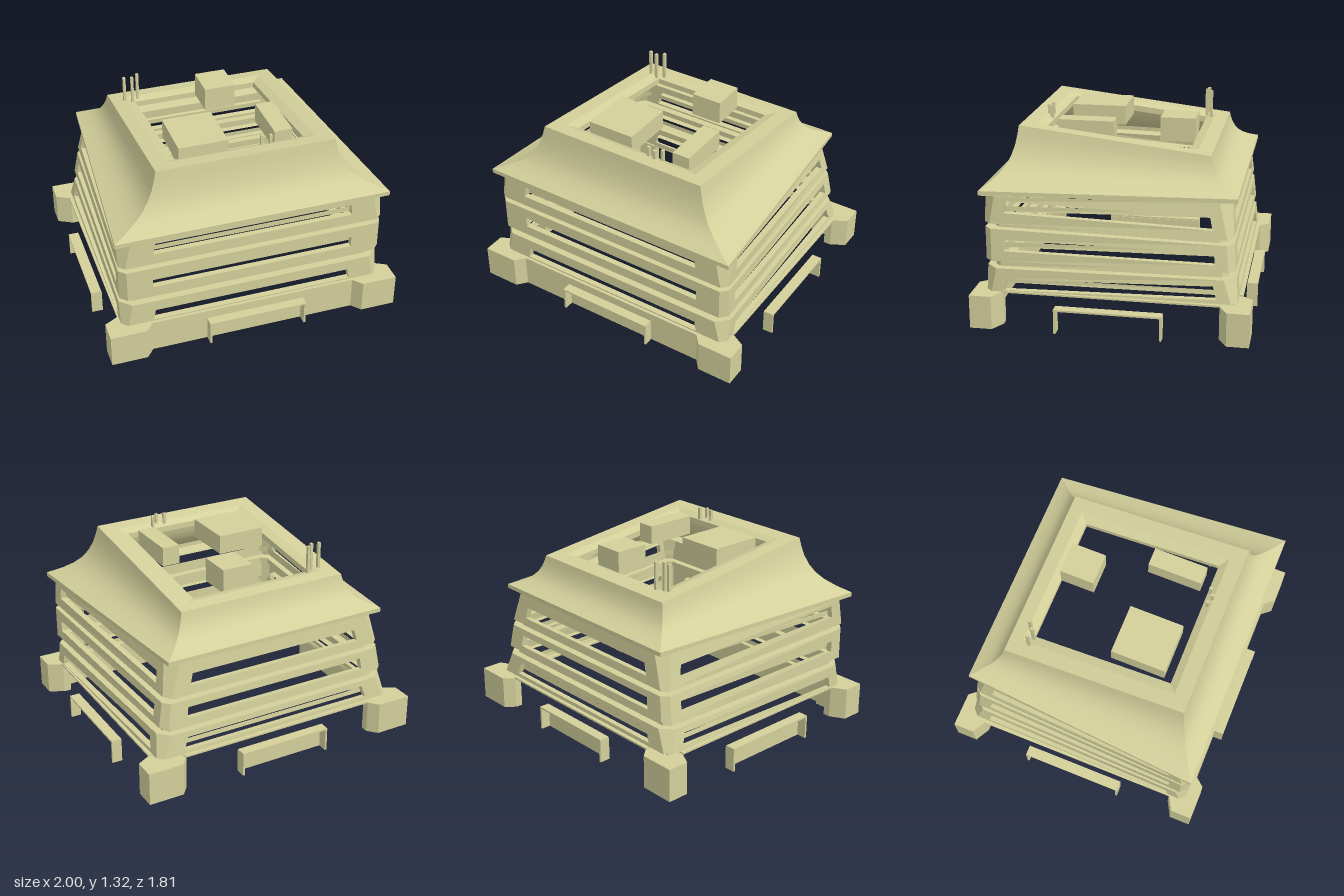
import * as THREE from 'three';

const stone = new THREE.MeshStandardMaterial({ color: 0xd3d09b, side: THREE.DoubleSide });
stone.name = 'pale stone';
const lerp = THREE.MathUtils.lerp;
const V = (x, y, z) => new THREE.Vector3(x, y, z);

function add(parent, name, geometry) {
  const m = new THREE.Mesh(geometry, stone);
  m.name = name;
  parent.add(m);
  return m;
}

// Box given by its limits
function block(parent, name, x0, x1, y0, y1, z0, z1) {
  const m = add(parent, name, new THREE.BoxGeometry(x1 - x0, y1 - y0, z1 - z0));
  m.position.set((x0 + x1) / 2, (y0 + y1) / 2, (z0 + z1) / 2);
}

// Flat faces from a list of four-corner quads
function quads(list) {
  const pos = [];
  for (const [a, b, c, d] of list) for (const p of [a, b, c, a, c, d]) pos.push(p.x, p.y, p.z);
  const g = new THREE.BufferGeometry();
  g.setAttribute('position', new THREE.Float32BufferAttribute(pos, 3));
  g.computeVertexNormals();
  return g;
}

// One side lofted through rows of two points, smooth along the curve
function strip(rows) {
  const pos = [], idx = [];
  rows.forEach(([a, b], i) => {
    pos.push(a.x, a.y, a.z, b.x, b.y, b.z);
    if (i) { const k = 2 * i; idx.push(k - 2, k - 1, k + 1, k - 2, k + 1, k); }
  });
  const g = new THREE.BufferGeometry();
  g.setAttribute('position', new THREE.Float32BufferAttribute(pos, 3));
  g.setIndex(idx);
  g.computeVertexNormals();
  return g;
}

// Chamfered plan of the leaning walls; height differs between front and back
function wallRing(yf, yb, inset, ch) {
  const k = (yb - 0.225) / 0.645;
  const F = 0.9 - inset, B = lerp(0.885, 0.77, k) - inset;
  const zf = 0.82 - inset, zb = lerp(-0.815, -0.755, k) + inset;
  const plan = [[-F + ch, zf], [F - ch, zf], [F, zf - ch], [B, zb + ch],
    [B - ch, zb], [-B + ch, zb], [-B, zb + ch], [-F, zf - ch]];
  return plan.map(([x, z]) => V(x, lerp(yf, yb, (zf - z) / (zf - zb)), z));
}

// Closed band between two rings
const band = (lo, hi) => lo.map((p, i) => {
  const j = (i + 1) % lo.length;
  return [p, lo[j], hi[j], hi[i]];
});

// One storey band with a long slot on each side
function tier(parent, name, lo, hi, win) {
  const list = [];
  const margins = [0.1, 0.055, 0.08, 0.055];
  for (let s = 0; s < 4; s++) {
    const a = lo[2 * s], b = lo[2 * s + 1], c = hi[2 * s + 1], d = hi[2 * s];
    const n = (2 * s + 2) % 8;
    list.push([b, lo[n], hi[n], c]);
    const normal = b.clone().sub(a).cross(d.clone().sub(a)).normalize();
    const at = (u, which) => {
      const back = [0, u, 1, 1 - u][s];
      const y = lerp(win.front[which], win.back[which], back);
      const p = a.clone().lerp(b, u), q = d.clone().lerp(c, u);
      return p.clone().lerp(q, (y - p.y) / (q.y - p.y));
    };
    const m = margins[s];
    const outer = [a, b, c, d];
    const slot = [at(m, 0), at(1 - m, 0), at(1 - m, 1), at(m, 1)];
    const inner = slot.map(p => p.clone().addScaledVector(normal, -0.04));
    for (let i = 0; i < 4; i++) {
      const j = (i + 1) % 4;
      list.push([outer[i], outer[j], slot[j], slot[i]], [slot[i], slot[j], inner[j], inner[i]]);
    }
  }
  add(parent, name, quads(list));
}

function buildWalls(g) {
  const specs = [
    { f: [0.225, 0.385], b: [0.235, 0.385], ch: [0.04, 0.075], front: [0.235, 0.31], back: [0.26, 0.345], bar: [0.268, 0.3] },
    { f: [0.435, 0.655], b: [0.435, 0.6], ch: [0.045, 0.045], front: [0.505, 0.58], back: [0.475, 0.555], bar: [0.512, 0.546] },
    { f: [0.69, 0.87], b: [0.64, 0.87], ch: [0.04, 0.075], front: [0.765, 0.845], back: [0.69, 0.77], bar: [0.755, 0.79] },
  ];
  specs.forEach((t, i) => {
    const lo = wallRing(t.f[0], t.b[0], 0, t.ch[0]), hi = wallRing(t.f[1], t.b[1], 0, t.ch[1]);
    tier(g, 'wallTier' + (i + 1), lo, hi, t);
    // Inner rail behind the slots
    add(g, 'innerRail', quads(band(wallRing(t.bar[0], t.bar[0], 0.06, 0.05), wallRing(t.bar[1], t.bar[1], 0.06, 0.05))));
    // Recessed joint up to the next tier
    const next = specs[i + 1];
    if (next) {
      const r0 = wallRing(t.f[1], t.b[1], 0.05, 0.04), r1 = wallRing(next.f[0], next.b[0], 0.05, 0.04);
      add(g, 'recessedJoint', quads([...band(hi, r0), ...band(r0, r1),
        ...band(r1, wallRing(next.f[0], next.b[0], 0, next.ch[0]))]));
    }
  });
}

function buildRoof(g) {
  const rect = (F, zf, B, zb, yf, yb) => [V(-F, yf, zf), V(F, yf, zf), V(B, yb, zb), V(-B, yb, zb)];
  const slope = z => 1.265 - 0.116 * (0.65 - z);
  const flat = (h, zf, zb, drop) => rect(h, zf, h, zb, slope(zf) - drop, slope(zb) - drop);
  const eave = rect(0.925, 0.84, 0.795, -0.795, 0.91, 0.905);
  const top = flat(0.6, 0.65, -0.6, 0);
  // Concave sweep: inward share, upward share
  const sweep = [[0, 0], [0.3, 0.11], [0.52, 0.22], [0.68, 0.34], [0.8, 0.48], [0.9, 0.66], [0.96, 0.84], [1, 1]];
  const rows = sweep.map(([s, h]) => eave.map((e, i) =>
    V(lerp(e.x, top[i].x, s), lerp(e.y, top[i].y, h), lerp(e.z, top[i].z, s))));
  for (let i = 0; i < 4; i++) add(g, 'roofSlope', strip(rows.map(r => [r[i], r[(i + 1) % 4]])));
  // Eave edge and soffit
  const under = rect(0.925, 0.84, 0.795, -0.795, 0.88, 0.877);
  const soffit = rect(0.85, 0.77, 0.72, -0.7, 0.868, 0.868);
  add(g, 'eave', quads([...band(under, eave), ...band(soffit, under)]));
  // Sloping rim around the open well
  const rim = flat(0.5, 0.55, -0.51, 0), lip = flat(0.437, 0.5, -0.45, 0.02), well = flat(0.437, 0.5, -0.45, 0.06);
  add(g, 'roofRim', quads([...band(top, rim), ...band(rim, lip), ...band(lip, well)]));
}

function buildBase(g) {
  // Bevelled corner piers
  for (const sx of [-1, 1]) for (const sz of [-1, 1]) {
    const pts = [[1, 0.905], [0.76, 0.905], [0.705, 0.84], [0.705, 0.79], [0.85, 0.79], [0.85, 0.705], [0.9, 0.705], [1, 0.76]];
    const shape = new THREE.Shape(pts.map(([x, z]) => new THREE.Vector2(x * sx, -z * sz)));
    const pier = add(g, 'cornerPier', new THREE.ExtrudeGeometry(shape, { depth: 0.225, bevelEnabled: false }));
    pier.rotation.x = -Math.PI / 2;
  }
  block(g, 'frontBaseWall', -0.71, 0.71, 0, 0.225, 0.82, 0.84);
  block(g, 'backSill', -0.71, 0.71, 0.222, 0.234, -0.84, -0.79);
  for (const s of [-1, 1]) {
    const x = s * 0.89;
    block(g, 'sideSill', x - 0.02, x + 0.02, 0.222, 0.234, -0.71, 0.71);
  }
}

// Entrance surround facing +z, then turned to its side
function portal(g, name, angle, distance, left, right, panel) {
  const p = new THREE.Group();
  p.name = name;
  const z0 = distance - 0.07, z1 = distance;
  block(p, 'lintel', left, right, 0.153, 0.165, z0, z1);
  block(p, 'jamb', left, left + 0.014, 0, 0.153, z0, z1);
  block(p, 'jamb', right - 0.014, right, 0, 0.153, z0, z1);
  if (panel) block(p, 'doorPanel', left, right, 0, 0.153, z0 - 0.004, z0 + 0.004);
  p.rotation.y = angle;
  g.add(p);
}

export function createModel() {
  const g = new THREE.Group();
  g.name = 'building';
  buildBase(g);
  buildWalls(g);
  buildRoof(g);
  portal(g, 'frontPortal', 0, 0.905, -0.33, 0.347, true);
  portal(g, 'backPortal', Math.PI, 0.905, -0.323, 0.33, true);
  portal(g, 'leftPortal', Math.PI / 2, 1, -0.35, 0.35, false);
  portal(g, 'rightPortal', -Math.PI / 2, 1, -0.35, 0.35, true);
  // Plant boxes in the roof well
  block(g, 'plantBox', -0.39, -0.055, 1.13, 1.262, 0.07, 0.44);
  block(g, 'plantBox', 0.262, 0.385, 1.13, 1.262, 0.07, 0.44);
  block(g, 'plantBox', 0, 0.215, 1.1, 1.262, -0.45, -0.215);
  // Slim roof pipes
  const pipes = [[0.14, 0.53, 1.22], [0.195, 0.545, 1.22], [0.237, 0.515, 1.22],
    [-0.508, -0.46, 1.11], [-0.455, -0.45, 1.11], [-0.41, -0.485, 1.11]];
  for (const [x, z, y] of pipes) block(g, 'roofPipe', x - 0.009, x + 0.009, y, 1.315, z - 0.011, z + 0.011);
  return g;
}
